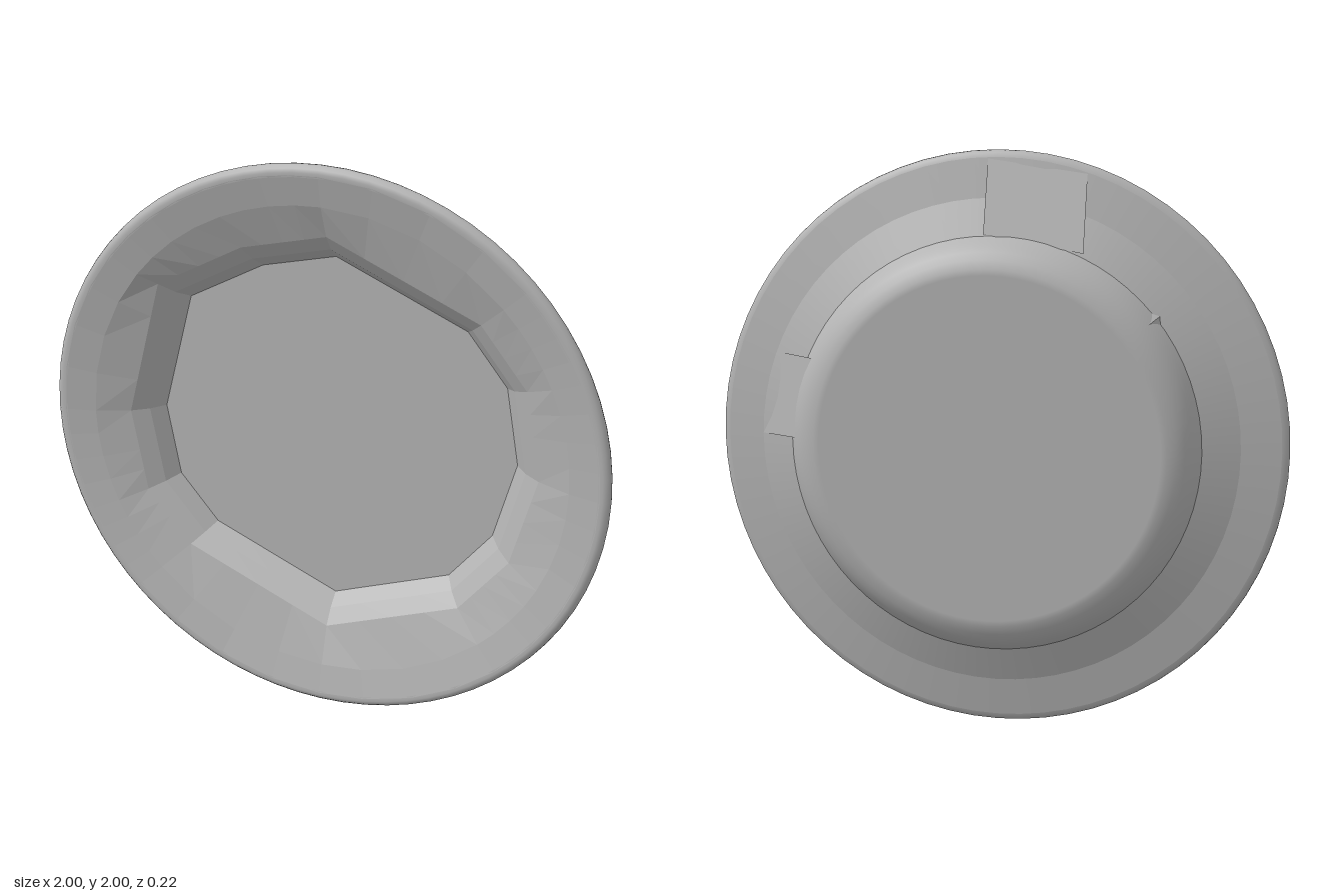
import * as THREE from 'three';

const grey = new THREE.MeshStandardMaterial({ color: 0xb4b4b4 });
grey.name = 'stone grey';
const greyFlat = new THREE.MeshStandardMaterial({ color: 0xb4b4b4, flatShading: true, side: THREE.DoubleSide });
greyFlat.name = 'faceted stone grey';

// Turned surface about the z axis; profile points are [radius, z]
function turned(name, profile) {
  const geo = new THREE.LatheGeometry(profile.map(p => new THREE.Vector2(...p)), 72);
  geo.rotateX(Math.PI / 2);
  const mesh = new THREE.Mesh(geo, grey);
  mesh.name = name;
  return mesh;
}

// Flat-shaded mesh from lists of corner triples
function faceted(name, triangles) {
  const geo = new THREE.BufferGeometry();
  geo.setAttribute('position', new THREE.Float32BufferAttribute(triangles.flat(2), 3));
  geo.computeVertexNormals();
  const mesh = new THREE.Mesh(geo, greyFlat);
  mesh.name = name;
  return mesh;
}

// Strips between successive rings of equal point count
function loft(rings) {
  const tris = [];
  for (let k = 0; k < rings.length - 1; k++) {
    const a = rings[k], b = rings[k + 1], n = a.length;
    for (let i = 0; i < n; i++) {
      const j = (i + 1) % n;
      tris.push([a[i], a[j], b[i]], [a[j], b[j], b[i]]);
    }
  }
  return tris;
}

export function createModel() {
  const group = new THREE.Group();
  group.name = 'plate';
  const body = new THREE.Group();
  body.position.y = 1;
  group.add(body);

  // Smooth back and rolled rim
  body.add(turned('backBase', [[0, -0.11], [0.59, -0.11], [0.61, -0.108], [0.64, -0.097],
    [0.666, -0.08], [0.685, -0.06], [0.7, -0.04], [0.715, -0.015]]));
  body.add(turned('backSlope', [[0.715, -0.015], [0.84, 0.035]]));
  body.add(turned('backFlange', [[0.84, 0.035], [0.975, 0.06]]));
  body.add(turned('rim', [[0.975, 0.06], [0.99, 0.065], [0.998, 0.075], [1, 0.085],
    [0.997, 0.095], [0.988, 0.104], [0.975, 0.108], [0.96, 0.106]]));

  // Irregular polygon of the well's mouth, counter-clockwise from +x
  const mouth = [[0.69, 0], [0.64, 0.29], [0.49, 0.48], [0, 0.69], [-0.28, 0.62], [-0.57, 0.46],
    [-0.69, 0], [-0.64, -0.28], [-0.49, -0.46], [0, -0.67], [0.45, -0.5], [0.61, -0.3]];
  const steps = 4;
  const outline = mouth.flatMap((p, i) => {
    const q = mouth[(i + 1) % mouth.length];
    return Array.from({ length: steps }, (_, s) =>
      [p[0] + (q[0] - p[0]) * s / steps, p[1] + (q[1] - p[1]) * s / steps]);
  });
  const poly = (scale, z) => outline.map(([x, y]) => [x * scale, y * scale, z]);
  const circle = (r, z) => outline.map(([x, y]) => {
    const l = Math.hypot(x, y);
    return [x / l * r, y / l * r, z];
  });

  // Faceted front border and well
  body.add(faceted('frontBorder', loft([circle(0.966, 0.107), circle(0.86, 0.083), poly(1.08, 0.035)])));
  body.add(faceted('wellWall', loft([poly(1.08, 0.035), poly(1.0, -0.005), poly(0.94, -0.055)])));
  const floor = poly(0.94, -0.055);
  body.add(faceted('wellFloor', floor.map((p, i) => [[0, 0, -0.055], p, floor[(i + 1) % floor.length]])));

  // Flat patches bridging the hollow of the back slope
  const patch = (name, a, b, c, d) => body.add(faceted(name, [[a, b, c], [a, c, d]]));
  patch('topPatch', [-0.31, 0.66, -0.018], [-0.31, 0.92, 0.057], [0.03, 0.97, 0.057], [0.03, 0.72, -0.018]);
  patch('sidePatch', [0.68, 0.01, -0.055], [0.62, 0.29, -0.055], [0.78, 0.3, 0.035], [0.84, 0.01, 0.035]);
  return group;
}
